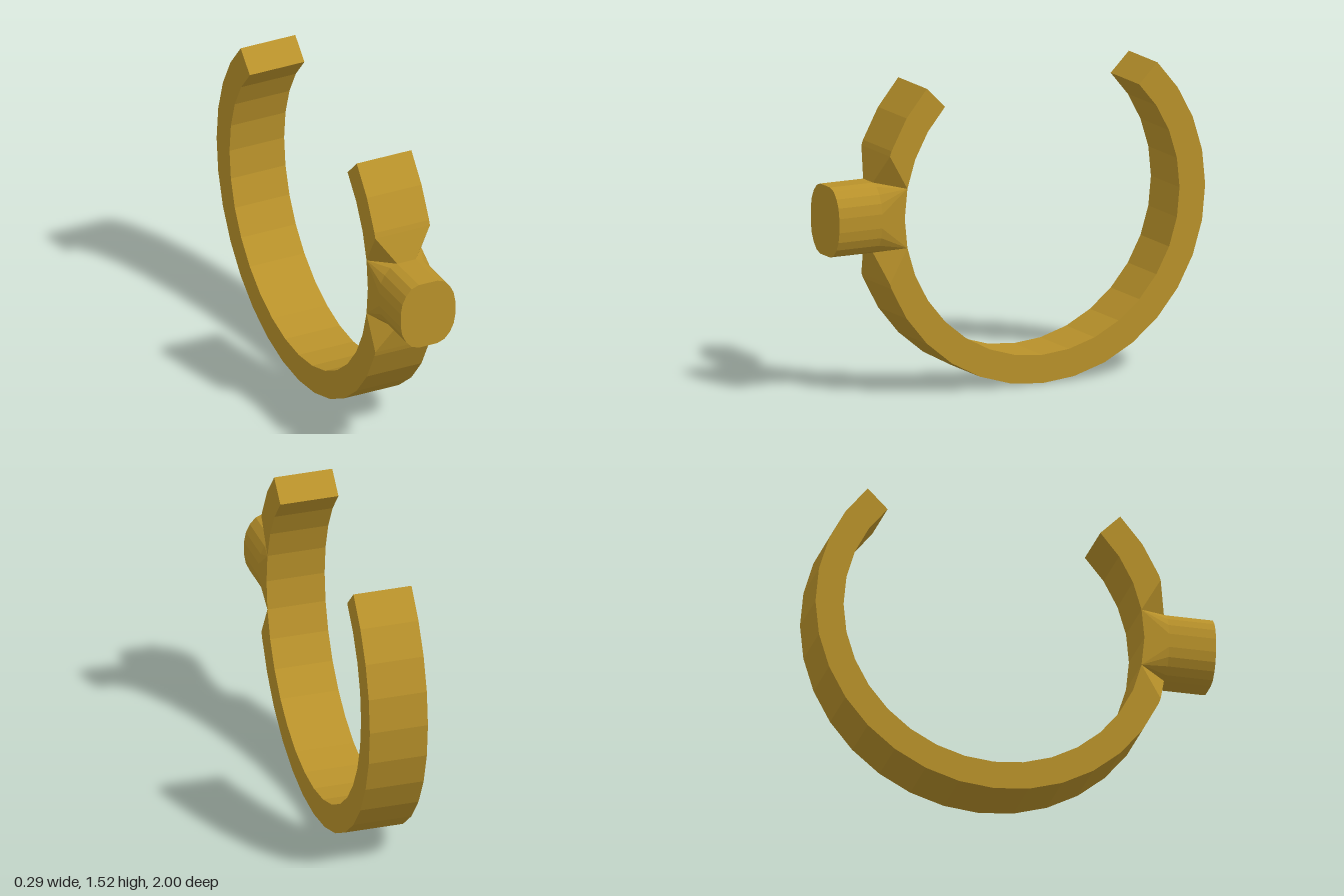
import * as THREE from 'three';

const CY = 0.895, CZ = -0.107; // ring centre
const OUTER = 0.89, INNER = 0.75, W = 0.147;
const STEP = Math.PI / 16;

export function createModel() {
  const group = new THREE.Group();
  const material = new THREE.MeshStandardMaterial({ color: 0xb8912a, flatShading: true });
  const add = (name, geometry) => {
    const mesh = new THREE.Mesh(geometry, material);
    mesh.name = name;
    mesh.position.y = CY;
    group.add(mesh);
  };
  // Point on a ring circle, i steps up from the front, as (z, y)
  const at = (r, i) => new THREE.Vector2(CZ + r * Math.cos(i * STEP), r * Math.sin(i * STEP));

  // Arms of the open ring, each ending in a slanted cut beside the stud
  const arm = (name, sign, last) => {
    const outer = [new THREE.Vector2(0.724, sign * 0.315)], inner = [];
    for (let i = 1; i <= last; i++) {
      if (i > 1) outer.push(at(OUTER, sign * i));
      inner.unshift(at(INNER, sign * i));
    }
    const shape = new THREE.Shape([...outer, ...inner]);
    const geo = new THREE.ExtrudeGeometry(shape, { depth: 2 * W, bevelEnabled: false });
    geo.rotateY(-Math.PI / 2).translate(W, 0, 0);
    add(name, geo);
  };
  arm('upperArm', 1, 4);
  arm('lowerArm', -1, 20);

  // Front stud flaring into the ring: one quarter, mirrored in x and y
  const loop = [[0, 0.173], [0.05, 0.173], [0.088, 0.159], [0.118, 0.126], [0.138, 0.085], [W, 0.035], [W, 0]];
  const front = loop.map(([x, y]) => [x, y, 1]);
  const back = loop.map(([x, y]) => [x, y, 0.766]);
  const b = at(INNER, 1);
  const A = [W, 0.315, 0.724], A0 = [0, 0.315, 0.724];
  const B = [W, b.y, b.x], B0 = [0, b.y, b.x];
  const I = [W, 0, CZ + INNER], I0 = [0, 0, CZ + INNER];
  const tris = [];
  for (let i = 0; i < 6; i++) {
    tris.push([[0, 0, 1], front[i + 1], front[i]]); // end cap
    tris.push([front[i], front[i + 1], back[i]], [front[i + 1], back[i + 1], back[i]]);
    if (i > 0 && i < 5) tris.push([back[i], back[i + 1], B]); // flare
  }
  tris.push([back[5], back[6], I], [back[5], I, B]); // side of the flare
  tris.push([A, back[1], B], [A0, back[1], A], [A0, back[0], back[1]]); // notch and outer band
  tris.push([B0, B, I], [B0, I, I0]); // inner band

  const positions = [];
  for (const sx of [1, -1]) for (const sy of [1, -1]) {
    for (const t of tris) {
      const corners = sx * sy > 0 ? t : [t[0], t[2], t[1]];
      for (const [x, y, z] of corners) positions.push(x * sx, y * sy, z);
    }
  }
  const stud = new THREE.BufferGeometry();
  stud.setAttribute('position', new THREE.Float32BufferAttribute(positions, 3));
  stud.computeVertexNormals();
  add('stud', stud);

  return group;
}
